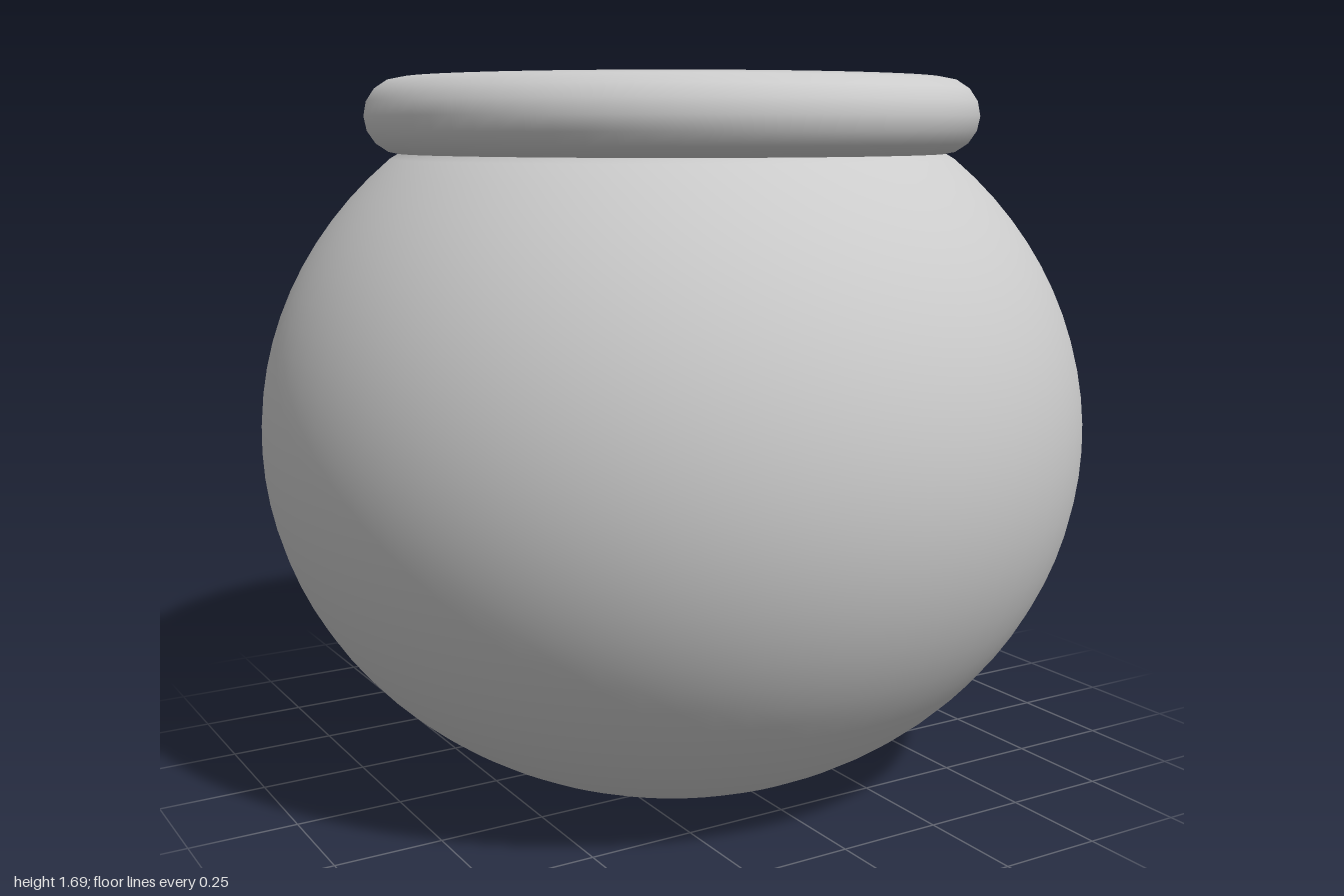
import * as THREE from 'three';

const material = new THREE.MeshStandardMaterial({ color: 0xcccccc, side: THREE.DoubleSide });
const CENTER_Y = 0.84;

// Points along an elliptical wall, from height y0 up to y1
function wallPoints(radius, halfHeight, y0, y1, steps = 28) {
  const a0 = Math.asin((y0 - CENTER_Y) / halfHeight);
  const a1 = Math.asin((y1 - CENTER_Y) / halfHeight);
  const points = [];
  for (let i = 0; i <= steps; i++) {
    const a = a0 + ((a1 - a0) * i) / steps;
    points.push(new THREE.Vector2(radius * Math.cos(a), CENTER_Y + halfHeight * Math.sin(a)));
  }
  return points;
}

// Shallow raised centre of the base, from the axis out to the given radius
function domePoints(radius, y, height, steps = 8) {
  const points = [];
  for (let i = 0; i < steps; i++) {
    const t = i / steps;
    points.push(new THREE.Vector2(radius * t, y + (height * (1 + Math.cos(Math.PI * t))) / 2));
  }
  points.push(new THREE.Vector2(radius, y));
  return points;
}

function lathe(name, points) {
  const mesh = new THREE.Mesh(new THREE.LatheGeometry(points, 72), material);
  mesh.name = name;
  return mesh;
}

export function createModel() {
  const pot = new THREE.Group();
  pot.name = 'pot';

  // Round belly with a dimpled foot and a short neck tucked under the rim
  pot.add(lathe('body', [
    ...domePoints(0.34, 0, 0.04),
    ...wallPoints(1, 0.9, 0.02, 1.5),
    new THREE.Vector2(0.655, 1.515),
    new THREE.Vector2(0.645, 1.54),
  ]));

  // Hollow inside, its floor following the dimple; reversed to face inward
  pot.add(lathe('interior', [
    ...domePoints(0.34, 0.04, 0.04),
    ...wallPoints(0.96, 0.86, 0.06, 1.5),
    new THREE.Vector2(0.61, 1.54),
  ].reverse()));

  // Rolled rim
  const rim = new THREE.Mesh(new THREE.TorusGeometry(0.647, 0.09, 16, 72), material);
  rim.name = 'rim';
  rim.rotation.x = -Math.PI / 2;
  rim.position.y = 1.6;
  pot.add(rim);

  return pot;
}
